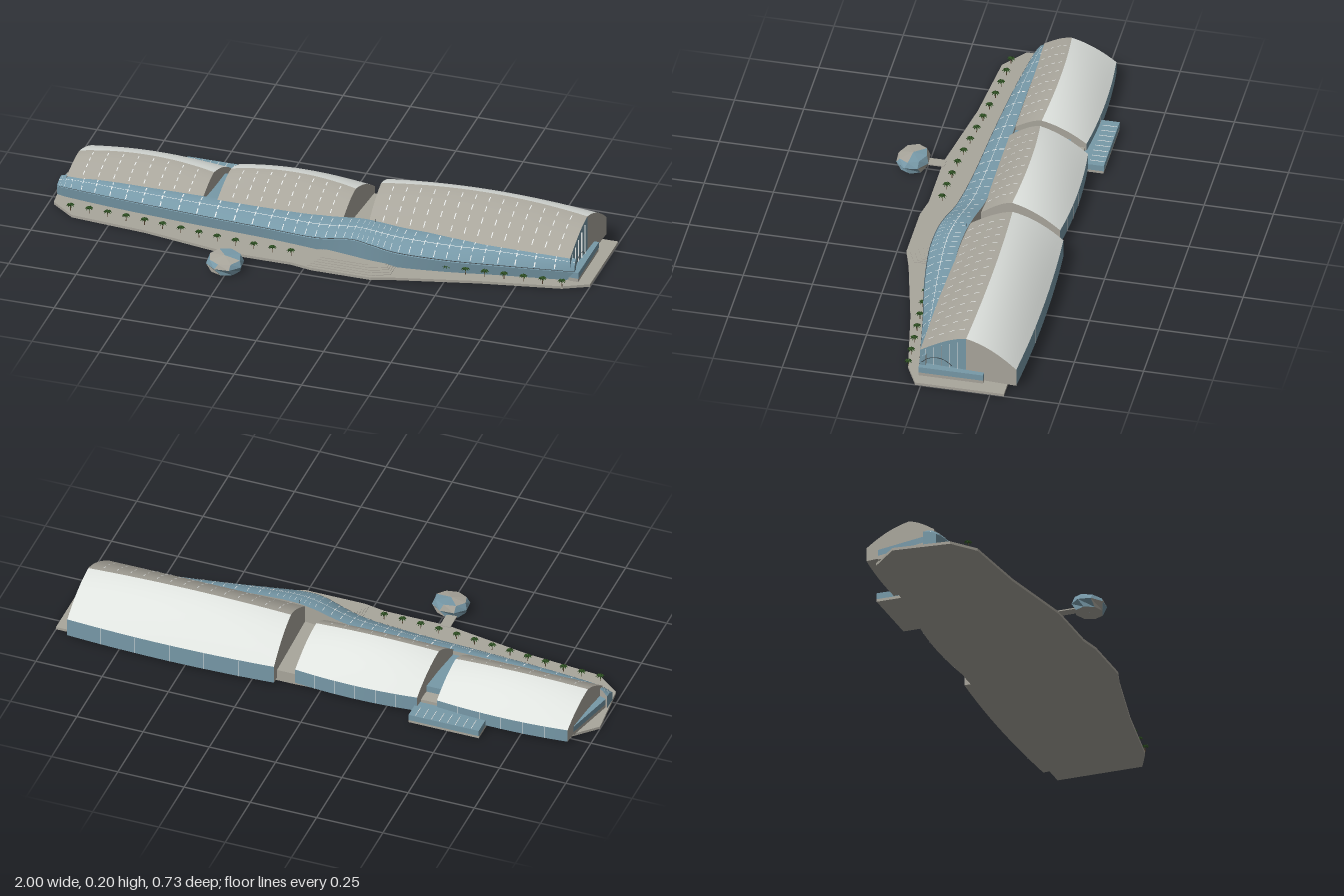
import * as THREE from 'three';
import { mergeGeometries } from 'three/addons/utils/BufferGeometryUtils.js';

const material = (name, color) => {
  const m = new THREE.MeshStandardMaterial({ color, side: THREE.DoubleSide });
  m.name = name;
  return m;
};
const lerp = THREE.MathUtils.lerp;
const range = (n) => Array.from({ length: n + 1 }, (_, i) => i / n);

// smooth surface through a list of equal-length cross-sections
function loft(sections) {
  const n = sections[0].length, index = [];
  for (let i = 0; i < sections.length - 1; i++)
    for (let j = 0; j < n - 1; j++) {
      const a = i * n + j, b = a + n;
      index.push(a, b, b + 1, a, b + 1, a + 1);
    }
  const g = new THREE.BufferGeometry();
  g.setAttribute('position', new THREE.Float32BufferAttribute(sections.flat(2), 3));
  g.setIndex(index);
  g.computeVertexNormals();
  return g;
}

// separate flat four-cornered faces
function quads(list) {
  const g = new THREE.BufferGeometry();
  const p = list.flatMap(([a, b, c, d]) => [a, b, c, a, c, d]).flat();
  g.setAttribute('position', new THREE.Float32BufferAttribute(p, 3));
  g.computeVertexNormals();
  return g;
}

// flat slab from a plan outline of [x, z] points
function slab(outline, y0, y1) {
  const shape = new THREE.Shape(outline.map(([x, z]) => new THREE.Vector2(x, -z)));
  const g = new THREE.ExtrudeGeometry(shape, { depth: y1 - y0, bevelEnabled: false });
  return g.rotateX(-Math.PI / 2).translate(0, y0, 0);
}

function block(x0, x1, y0, y1, z0, z1) {
  return new THREE.BoxGeometry(x1 - x0, y1 - y0, z1 - z0)
    .translate((x0 + x1) / 2, (y0 + y1) / 2, (z0 + z1) / 2);
}

export function createModel() {
  const root = new THREE.Group();
  root.name = 'exhibitionCentre';
  const concrete = material('concrete', 0xa9a69c);
  const roofWhite = material('white roof', 0xdfe3df);
  const glass = material('blue glass', 0x7799a8);
  const trim = material('white trim', 0xe8ebea);
  const dark = material('dark metal', 0x3a4246);
  const leaf = material('palm green', 0x2f5223);
  const bark = material('bark', 0x5c4a36);
  const add = (name, geometry, mat, parent = root) => {
    const m = new THREE.Mesh(geometry, mat);
    m.name = name;
    parent.add(m);
    return m;
  };

  // podium and front steps
  add('podium', slab([[-1, -0.16], [-0.9, -0.26], [-0.43, -0.28], [0.1, -0.3], [1, -0.3], [1, 0.02],
    [0.91, 0.065], [0.62, 0.12], [0.33, 0.19], [0.25, 0.215], [0.03, 0.215], [-0.05, 0.2], [-0.29, 0.2],
    [-0.61, 0.145], [-0.89, 0.12], [-0.98, 0.05]], 0, 0.01), concrete);
  for (let i = 0; i < 5; i++)
    add('step', slab([[0.01 + i * 0.008, 0.05], [0.01 + i * 0.008, 0.203 - i * 0.014],
      [0.25 - i * 0.008, 0.203 - i * 0.014], [0.31 - i * 0.008, 0.175 - i * 0.012],
      [0.31 - i * 0.008, 0.05]], 0.009, 0.012 + i * 0.0018), concrete);

  // vaulted halls: x pairs run front to back, heights swell towards the middle
  const halls = [
    { name: 'largeHall', l: [0.175, 0.165], r: [0.925, 0.945], zf: 0.018, yf: 0.1, zr: -0.15, yr: 0.182, rise: 0.022, zb: -0.333, yb: 0.082, cols: 15, glassEnd: true },
    { name: 'middleHall', l: [-0.395, -0.365], r: [0.07, 0.095], zf: -0.015, yf: 0.084, zr: -0.13, yr: 0.154, rise: 0.018, zb: -0.306, yb: 0.07, cols: 9 },
    { name: 'smallHall', l: [-0.955, -0.925], r: [-0.45, -0.432], zf: -0.02, yf: 0.08, zr: -0.122, yr: 0.132, rise: 0.018, zb: -0.286, yb: 0.062, cols: 9 },
  ];
  for (const h of halls) {
    const hall = new THREE.Group();
    hall.name = h.name;
    root.add(hall);
    // u runs 0 at the front foot, 1 at the ridge, 2 at the back eave
    const at = (t, u, lift = 0) => {
      const swell = 1 - (2 * t - 1) ** 2;
      const x = lerp(lerp(h.l[0], h.l[1], u / 2), lerp(h.r[0], h.r[1], u / 2), t);
      const yr = h.yr + h.rise * swell, zr = h.zr - 0.015 * swell, zb = h.zb - 0.014 * swell;
      if (u <= 1) return [x, lerp(h.yf, yr, 1.35 * u - 0.35 * u ** 3) + lift, lerp(h.zf, zr, u) + lift / 2];
      const s = u - 1;
      return [x, lerp(yr, h.yb, 0.35 * s + 0.65 * s * s) + lift, lerp(zr, zb, s)];
    };
    const down = ([x, , z]) => [x, 0.012, z];
    const ts = range(16), us = range(10);
    add('frontRoof', loft(ts.map((t) => us.map((u) => at(t, u)))), concrete, hall);
    add('backRoof', loft(ts.map((t) => us.map((u) => at(t, 1 + u)))), roofWhite, hall);
    add('backWall', loft(ts.map((t) => [at(t, 2), down(at(t, 2))])), glass, hall);
    add('floor', loft(ts.map((t) => [down(at(t, 0)), down(at(t, 2))])), concrete, hall);
    for (const t of [0, 1])
      for (const half of [0, 1]) {
        const edge = us.map((u) => at(t, half + u));
        add('gable', loft([edge, edge.map(down)]), h.glassEnd && t && !half ? glass : concrete, hall);
      }
    // skylight dashes on the front slope
    const dashes = [], w = 0.0016 / (h.r[0] - h.l[0]);
    for (let c = 1; c < h.cols; c++)
      for (const u of [0.12, 0.34, 0.56, 0.78]) {
        const t = c / h.cols;
        dashes.push([at(t - w, u, 0.0015), at(t + w, u, 0.0015), at(t + w, u + 0.11, 0.0015), at(t - w, u + 0.11, 0.0015)]);
      }
    add('skylights', quads(dashes), trim, hall);
    // mullions on the back wall
    add('backMullions', quads(range(6).slice(1, -1).map((t) => {
      const [x, y, z] = at(t, 2);
      return [[x - 0.001, 0.012, z - 0.001], [x + 0.001, 0.012, z - 0.001], [x + 0.001, y, z - 0.001], [x - 0.001, y, z - 0.001]];
    })), trim, hall);
  }

  // wave-shaped glass concourse: x, front z, back z, wall height, roof height
  const stations = [[-0.985, 0, -0.05, 0.045, 0.062], [-0.93, 0.012, -0.035, 0.048, 0.08], [-0.72, 0.035, -0.025, 0.05, 0.085],
    [-0.45, 0.055, -0.025, 0.05, 0.086], [-0.18, 0.07, -0.025, 0.05, 0.086], [0, 0.088, -0.02, 0.055, 0.09],
    [0.14, 0.108, -0.005, 0.084, 0.112], [0.22, 0.12, 0.005, 0.08, 0.115], [0.32, 0.122, 0.01, 0.066, 0.11],
    [0.49, 0.1, 0.005, 0.055, 0.104], [0.67, 0.065, 0, 0.048, 0.101], [0.94, 0.018, -0.005, 0.045, 0.09]];
  const curve = (zi, yi) => new THREE.CatmullRomCurve3(
    stations.map((s) => new THREE.Vector3(s[0], s[yi], s[zi])), false, 'catmullrom');
  const eave = curve(1, 3), crest = curve(2, 4);
  const roofAt = (t, s, lift = 0) => {
    const a = eave.getPoint(t), b = crest.getPoint(t);
    return [a.x, lerp(a.y, b.y, 1 - (1 - s) ** 2) + lift, lerp(a.z, b.z, s) + lift];
  };
  const foot = ([x, , z], dz = 0) => [x, 0.008, z + dz];
  const along = range(66), across = range(8);
  const concourse = new THREE.Group();
  concourse.name = 'concourse';
  root.add(concourse);
  add('concourseRoof', loft(along.map((t) => across.map((s) => roofAt(t, s)))), glass, concourse);
  add('concourseWall', loft(along.map((t) => [foot(roofAt(t, 0), -0.006), roofAt(t, 0)])), glass, concourse);
  add('concourseBack', loft(along.map((t) => [roofAt(t, 1), foot(roofAt(t, 1))])), concrete, concourse);
  for (const t of [0, 1]) {
    const edge = across.map((s) => roofAt(t, s));
    add('concourseEnd', loft([edge, edge.map((p) => foot(p))]), glass, concourse);
  }
  // roof glazing bars
  const bars = [];
  for (let i = 1; i < 44; i++)
    for (const s of [0.08, 0.4, 0.7]) {
      const t = i / 44, w = 0.0007;
      bars.push([roofAt(t - w, s, 0.001), roofAt(t + w, s, 0.001), roofAt(t + w, s + 0.2, 0.001), roofAt(t - w, s + 0.2, 0.001)]);
    }
  add('glazingBars', quads(bars), trim, concourse);
  for (const s of [0.02, 0.52])
    add('glazingRail', loft(along.map((t) => [roofAt(t, s, 0.001), roofAt(t, s + 0.02, 0.001)])), s < 0.1 ? dark : trim, concourse);

  // links between halls
  add('westLink', block(-0.45, -0.37, 0.01, 0.07, -0.23, -0.02), glass);
  add('westLinkRear', block(-0.44, -0.37, 0.01, 0.045, -0.28, -0.23), concrete);
  add('eastLink', block(0.07, 0.175, 0.01, 0.045, -0.3, 0), concrete);

  // rear annex
  add('annexBase', block(-0.62, -0.355, 0, 0.01, -0.364, -0.27), concrete);
  add('annex', block(-0.62, -0.355, 0.01, 0.033, -0.365, -0.27), glass);
  for (let i = 1; i < 9; i++)
    add('annexRoofBar', block(-0.621 + i * 0.03, -0.619 + i * 0.03, 0.033, 0.034, -0.362, -0.31), trim);

  // side wings
  add('eastWingBase', block(0.92, 0.955, 0.008, 0.023, -0.215, 0.018), concrete);
  add('eastWing', block(0.92, 0.956, 0.023, 0.046, -0.215, 0.018), glass);
  const wing = [[-0.985, -0.02], [-0.93, -0.24], [-0.9, -0.24], [-0.93, -0.02]];
  add('westWingBase', slab(wing, 0.008, 0.023), concrete);
  add('westWing', slab(wing, 0.023, 0.046), glass);

  // gable arch, mullions and mast
  const arch = new THREE.CatmullRomCurve3([[0.06, 0.01], [0.08, -0.015], [0.087, -0.045], [0.08, -0.075], [0.06, -0.1]]
    .map(([y, z]) => new THREE.Vector3(0.942, y, z)));
  add('gableArch', new THREE.TubeGeometry(arch, 20, 0.0012, 5), dark);
  for (let i = 0; i < 5; i++)
    add('gableMullion', block(0.924 + i * 0.0022, 0.929 + i * 0.0022, 0.046, 0.106 + i * 0.014, -0.001 - i * 0.03, 0 - i * 0.03), trim);
  add('mast', new THREE.CylinderGeometry(0.001, 0.001, 0.04, 5).translate(0.2, 0.107, 0.008), dark);

  // faceted pod and its footbridge
  const ring = (r, y, tilt, turn) => Array.from({ length: 8 }, (_, i) => {
    const a = ((i + turn) / 8) * Math.PI * 2;
    return [-0.262 + Math.cos(a) * r * 1.12, y - Math.sin(a) * tilt, 0.302 + Math.sin(a) * r];
  });
  const rings = [ring(0.001, 0.002, 0, 0), ring(0.05, 0.002, 0, 0), ring(0.062, 0.03, 0.002, 0.4),
    ring(0.052, 0.051, 0.006, 0.2), ring(0.001, 0.057, 0, 0)];
  const podFaces = { pale: [], blue: [] };
  for (let j = 0; j < 4; j++)
    for (let i = 0; i < 8; i++) {
      const k = (i + 1) % 8;
      const pale = j === 0 || (j === 3 ? i % 8 < 5 : (i + j) % 4 === 3);
      podFaces[pale ? 'pale' : 'blue'].push([rings[j][i], rings[j + 1][i], rings[j + 1][k], rings[j][k]]);
    }
  add('podPanels', quads(podFaces.pale), concrete);
  add('podGlass', quads(podFaces.blue), glass);
  add('footbridge', block(-0.3, -0.262, 0.008, 0.012, 0.19, 0.26), concrete);

  // rows of palms
  const fronds = [];
  for (let i = 0; i < 8; i++) {
    const a = (i / 8) * Math.PI * 2;
    const p = (r, y, da) => [Math.cos(a + da) * r, y, Math.sin(a + da) * r];
    fronds.push([[0, 0.024, 0], p(0.009, 0.027, 0.35), p(0.016, 0.019, 0), p(0.009, 0.027, -0.35)]);
  }
  const crown = mergeGeometries([quads(fronds),
    new THREE.IcosahedronGeometry(0.006, 0).deleteAttribute('uv').translate(0, 0.023, 0)]);
  const trunk = new THREE.CylinderGeometry(0.001, 0.0015, 0.024, 5).translate(0, 0.012, 0);
  const palm = (x, z) => {
    const tree = new THREE.Group();
    tree.name = 'palm';
    tree.position.set(x, 0.01, z);
    tree.rotation.y = x * 9;
    root.add(tree);
    add('palmTrunk', trunk, bark, tree);
    add('palmCrown', crown, leaf, tree);
  };
  for (let i = 0; i < 13; i++) palm(-0.905 + i * 0.07, 0.09 + 0.065 * THREE.MathUtils.smoothstep(i, 0, 12));
  for (let i = 0; i < 7; i++) palm(0.49 + i * 0.07, 0.093 - i * 0.0048);

  return root;
}
